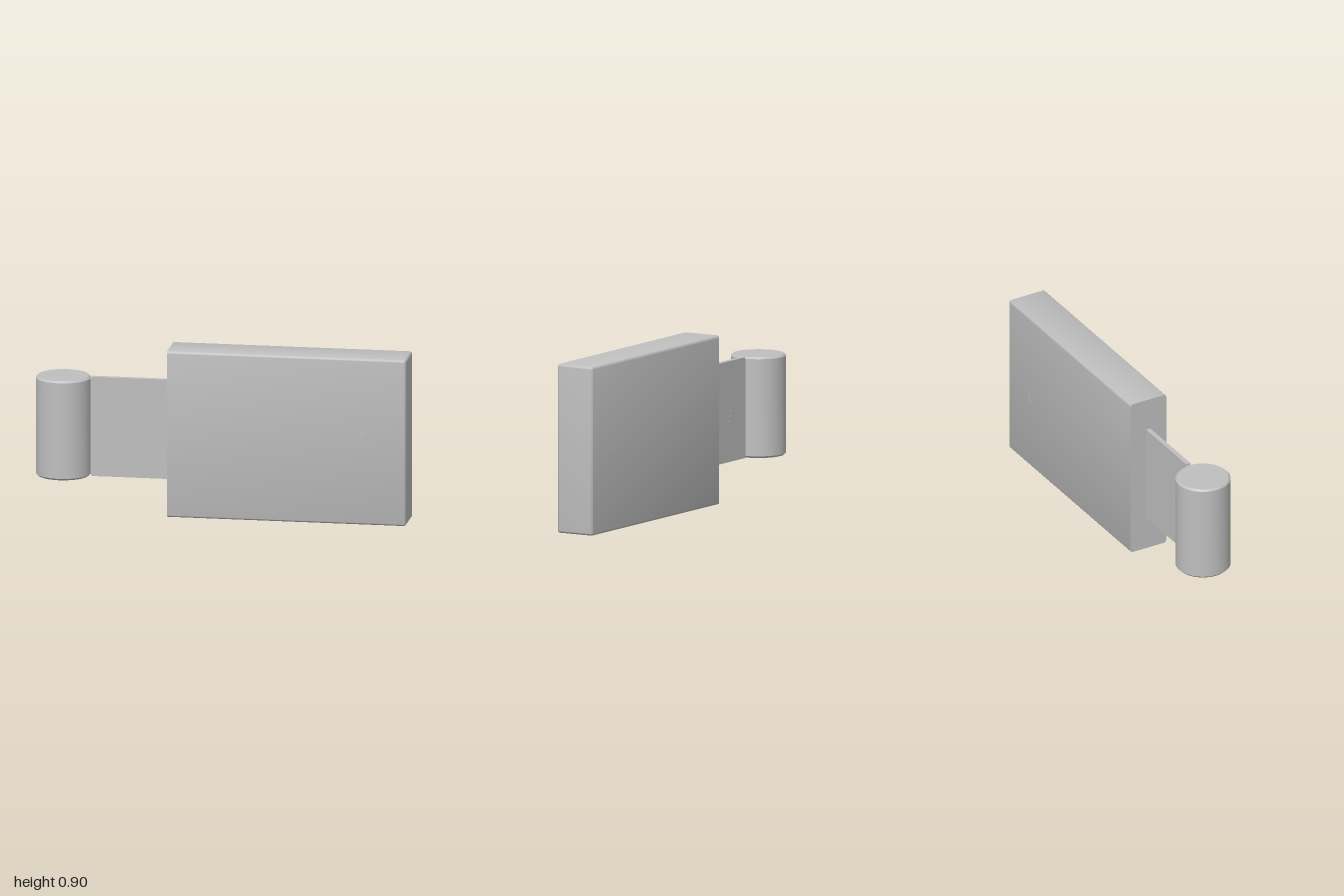
import * as THREE from 'three';
import { RoundedBoxGeometry } from 'three/addons/geometries/RoundedBoxGeometry.js';
import { toCreasedNormals } from 'three/addons/utils/BufferGeometryUtils.js';

export function createModel() {
  const group = new THREE.Group();
  const grey = new THREE.MeshStandardMaterial({ color: 0xbfbfbf });
  grey.name = 'plainGrey';

  const add = (name, geometry, x, y, z) => {
    const mesh = new THREE.Mesh(geometry, grey);
    mesh.name = name;
    mesh.position.set(x, y, z);
    group.add(mesh);
    return mesh;
  };

  // Large block: eased long edges and right end, square-cut inner end
  const r = 0.015, inner = -0.28, length = 1 - inner + r;
  const block = new RoundedBoxGeometry(length, 0.905, 0.22, 3, r);
  block.translate(1 - length / 2, 0.4525, 0);
  const p = block.attributes.position;
  for (let i = 0; i < p.count; i++) p.setX(i, Math.max(p.getX(i), inner));
  add('block', toCreasedNormals(block, 0.5), 0, 0, 0);

  // Thin web joining block and post, with a slightly shorter tongue at the post
  add('web', new THREE.BoxGeometry(0.43, 0.54, 0.026), -0.485, 0.455, 0);
  add('webTongue', new THREE.BoxGeometry(0.06, 0.52, 0.02), -0.72, 0.455, 0);

  // Round post with bevelled rims
  const R = 0.146, b = 0.01, h = 0.54;
  const profile = [[0, 0], [R - b, 0], [R, b], [R, h - b], [R - b, h], [0, h]]
    .map(([x, y]) => new THREE.Vector2(x, y));
  add('post', toCreasedNormals(new THREE.LatheGeometry(profile, 64), 0.5), -0.854, 0.185, 0);

  // Tiny slanted nicks on the faces
  const nick = (name, x, y, z, len, tilt) => {
    add(name, new THREE.BoxGeometry(0.01, len, 0.002), x, y, z).rotation.z = tilt;
  };
  nick('blockNickFront', 0.765, 0.497, 0.11, 0.05, 0.35);
  nick('blockNickBack', 0.78, 0.41, -0.11, 0.05, -0.35);
  nick('webNickBack', -0.55, 0.44, -0.013, 0.08, 0.2);

  return group;
}
